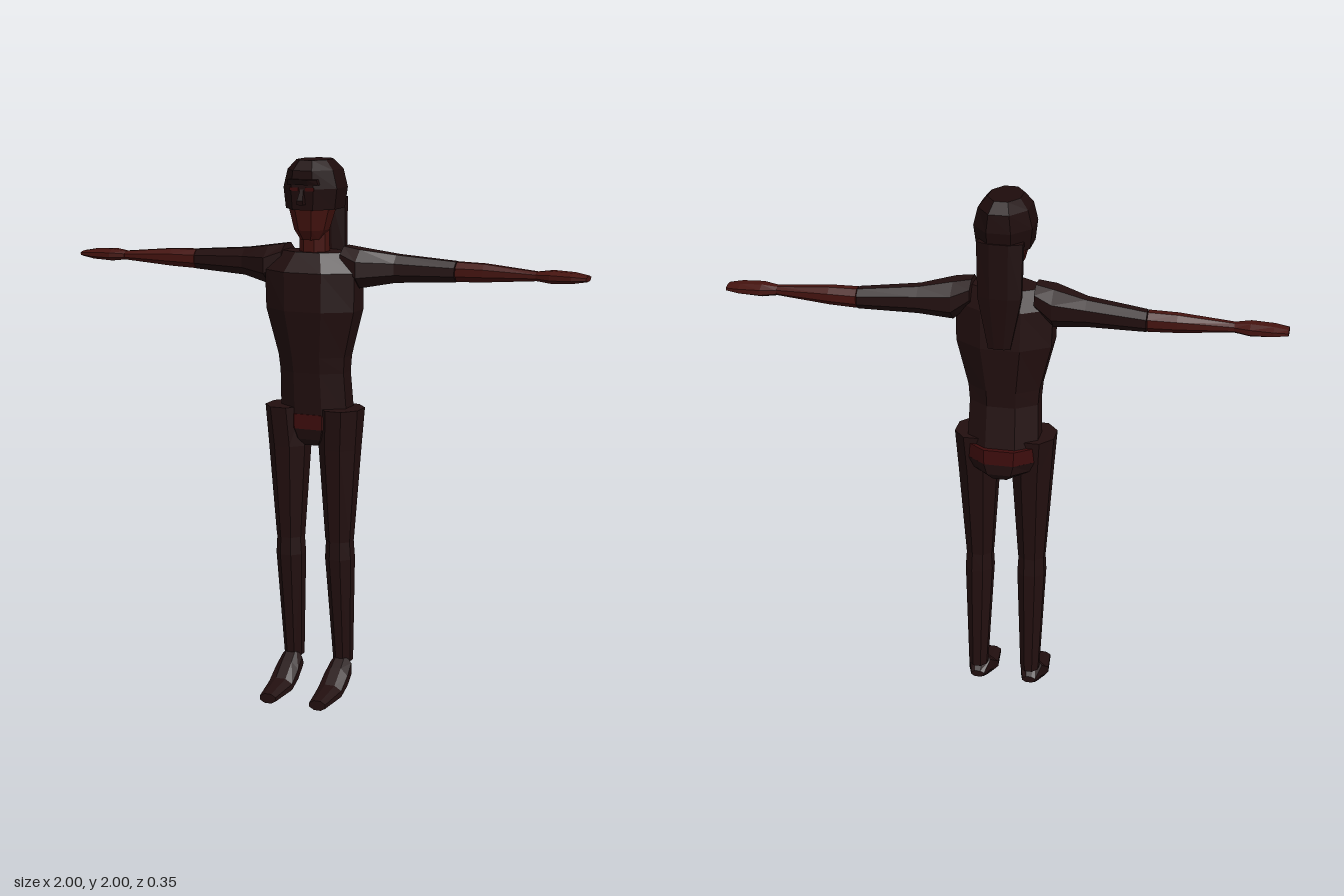
import * as THREE from 'three';

const mat = (name, color) => {
  const m = new THREE.MeshStandardMaterial({ color, flatShading: true });
  m.name = name;
  return m;
};

// Closed low-poly tube through rings [pos, minA, maxA, minB, maxB] along an axis.
// Axis y: A = x, B = z. Axis x: A = y, B = z. Axis z: A = x, B = y.
function loft(axis, rings, side = 1, n = 8) {
  const place = {
    y: (p, a, b) => [a * side, p, b],
    x: (p, a, b) => [p * side, a, b],
    z: (p, a, b) => [a * side, b, p],
  }[axis];
  const k = 1 / Math.cos(Math.PI / n);
  const loops = rings.map(([p, a0, a1, b0, b1]) => Array.from({ length: n }, (_, i) => {
    const t = ((i + 0.5) * 2 * Math.PI) / n;
    const a = (a0 + a1) / 2 + ((a1 - a0) / 2) * k * Math.cos(t);
    const b = (b0 + b1) / 2 + ((b1 - b0) / 2) * k * Math.sin(t);
    return new THREE.Vector3(...place(p, a, b));
  }));
  const tris = [];
  for (let r = 0; r < loops.length - 1; r++) {
    for (let i = 0; i < n; i++) {
      const j = (i + 1) % n, lo = loops[r], hi = loops[r + 1];
      tris.push([lo[i], lo[j], hi[j]], [lo[i], hi[j], hi[i]]);
    }
  }
  const first = loops[0], last = loops[loops.length - 1];
  for (let i = 1; i < n - 1; i++) {
    tris.push([first[0], first[i + 1], first[i]], [last[0], last[i], last[i + 1]]);
  }
  // Turn the faces outward
  const volume = tris.reduce((s, [a, b, c]) => s + a.dot(b.clone().cross(c)), 0);
  if (volume < 0) tris.forEach((t) => t.reverse());
  const g = new THREE.BufferGeometry().setFromPoints(tris.flat());
  g.computeVertexNormals();
  return g;
}

export function createModel() {
  const model = new THREE.Group();
  model.name = 'figure';
  const suit = mat('dark suit', 0x220f0f);
  const skin = mat('skin', 0x45130f);
  const hair = mat('hair', 0x1e0c0c);
  const red = mat('dark red', 0x3d0c0c);

  const add = (name, geometry, material, parent = model) => {
    const mesh = new THREE.Mesh(geometry, material);
    mesh.name = name;
    parent.add(mesh);
    return mesh;
  };
  // Ring symmetric in x
  const ring = (p, h, b0, b1) => [p, -h, h, b0, b1];

  // Body
  add('torso', loft('y', [
    ring(1.07, 0.13, -0.15, 0.03), ring(1.23, 0.125, -0.125, 0.045),
    ring(1.29, 0.13, -0.128, 0.055), ring(1.46, 0.172, -0.145, 0.083),
    ring(1.6, 0.175, -0.135, 0.083), ring(1.67, 0.115, -0.11, 0.035),
  ]), suit);
  add('pelvis', loft('y', [
    ring(0.955, 0.06, -0.15, 0.0), ring(0.98, 0.105, -0.168, 0.02),
    ring(1.02, 0.13, -0.17, 0.03),
  ]), suit);
  add('belt', loft('y', [ring(1.02, 0.13, -0.17, 0.033), ring(1.075, 0.133, -0.168, 0.034)]), red);

  // Head
  const head = new THREE.Group();
  head.name = 'head';
  model.add(head);
  add('neck', loft('y', [ring(1.64, 0.05, -0.085, 0.02), ring(1.8, 0.05, -0.08, 0.03)]), skin, head);
  add('face', loft('y', [
    ring(1.715, 0.035, -0.03, 0.04), ring(1.75, 0.058, -0.07, 0.06),
    ring(1.83, 0.078, -0.1, 0.076), ring(1.9, 0.08, -0.1, 0.078),
  ]), skin, head);
  add('hairCap', loft('y', [
    ring(1.825, 0.095, -0.155, 0.08), ring(1.9, 0.104, -0.165, 0.085),
    ring(1.965, 0.088, -0.16, 0.082), ring(2.0, 0.058, -0.12, 0.05),
  ]), hair, head);
  add('longHair', loft('y', [
    ring(1.47, 0.04, -0.162, -0.142), ring(1.66, 0.078, -0.168, -0.115),
    ring(1.86, 0.082, -0.165, -0.1),
  ]), hair, head);
  add('nose', loft('y', [
    ring(1.845, 0.012, 0.06, 0.104), ring(1.86, 0.011, 0.06, 0.107), ring(1.9, 0.006, 0.06, 0.086),
  ], 1, 4), hair, head);
  add('brow', loft('y', [ring(1.915, 0.06, 0.05, 0.09), ring(1.935, 0.055, 0.05, 0.1)]), hair, head);

  for (const side of [1, -1]) {
    const label = side > 0 ? 'left' : 'right';
    const eye = add(label + 'Eye', new THREE.BoxGeometry(0.032, 0.012, 0.006), red, head);
    eye.position.set(side * 0.03, 1.9, 0.086);

    // Arm
    const arm = new THREE.Group();
    arm.name = label + 'Arm';
    model.add(arm);
    add('upperArm', loft('x', [
      [0.115, 1.6, 1.692, -0.115, 0.01], [0.18, 1.543, 1.682, -0.135, 0.025],
      [0.3, 1.563, 1.663, -0.14, -0.045], [0.515, 1.572, 1.645, -0.156, -0.083],
    ], side), suit, arm);
    add('forearm', loft('x', [
      [0.518, 1.573, 1.644, -0.154, -0.085], [0.62, 1.577, 1.642, -0.152, -0.085],
      [0.82, 1.592, 1.624, -0.135, -0.09],
    ], side), skin, arm);
    add('hand', loft('x', [
      [0.815, 1.592, 1.624, -0.138, -0.088], [0.87, 1.586, 1.631, -0.156, -0.07],
      [0.95, 1.59, 1.627, -0.157, -0.068], [1.0, 1.598, 1.618, -0.145, -0.08],
    ], side), skin, arm);

    // Leg
    const leg = new THREE.Group();
    leg.name = label + 'Leg';
    model.add(leg);
    add('thigh', loft('y', [
      [0.597, 0.05, 0.147, -0.088, 0.014], [0.95, 0.028, 0.172, -0.112, 0.042],
      [1.098, 0.035, 0.183, -0.125, 0.056],
    ], side), suit, leg);
    add('shin', loft('y', [
      [0.122, 0.066, 0.134, -0.11, -0.035], [0.53, 0.048, 0.15, -0.094, 0.014],
      [0.597, 0.052, 0.146, -0.088, 0.012],
    ], side), suit, leg);
    add('shoe', loft('z', [
      [-0.097, 0.075, 0.125, 0.065, 0.09], [-0.05, 0.06, 0.142, 0.04, 0.15],
      [0.0, 0.054, 0.147, 0.018, 0.11], [0.06, 0.053, 0.147, 0.004, 0.06],
      [0.178, 0.068, 0.132, 0, 0.036],
    ], side), suit, leg);
  }
  return model;
}
